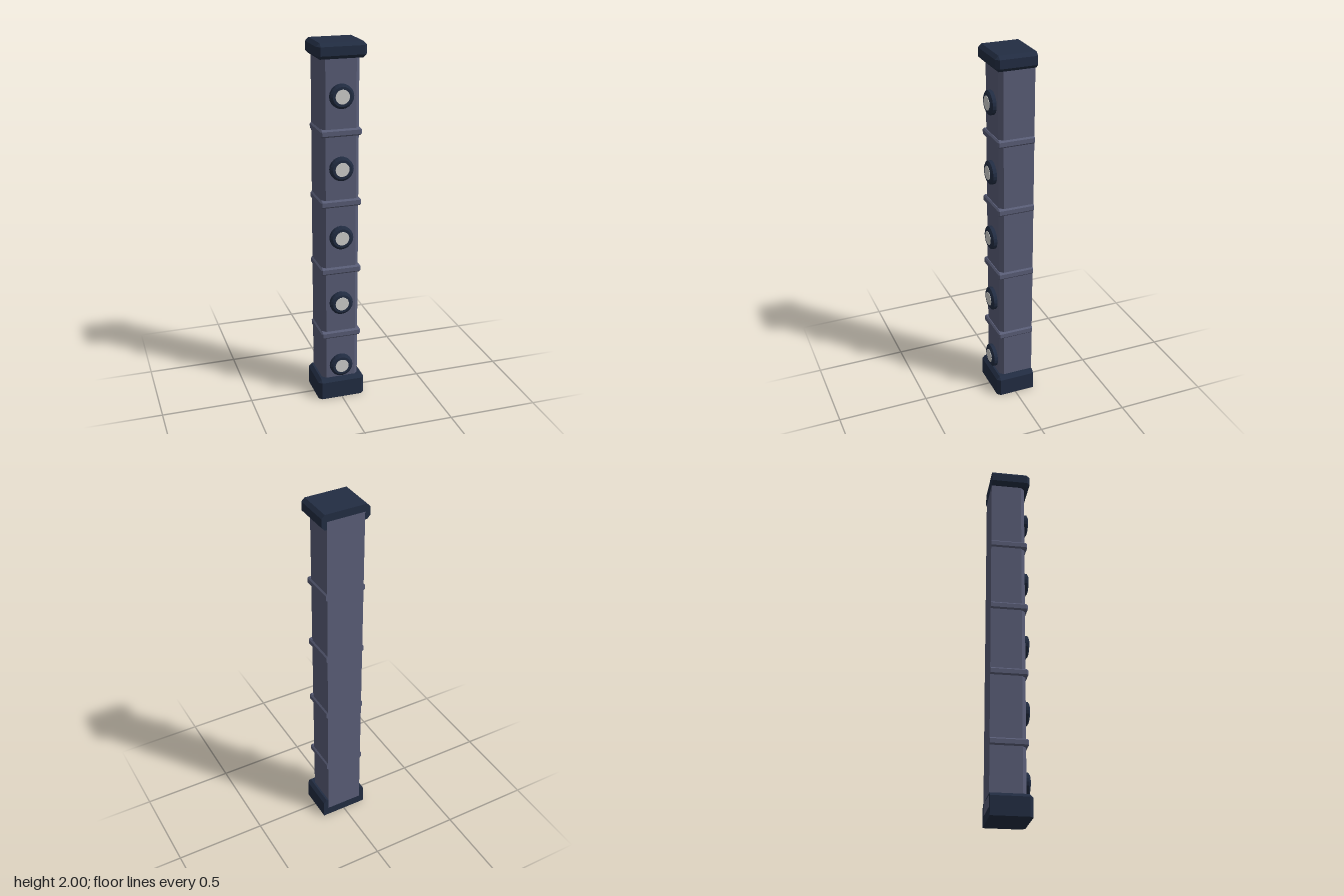
import * as THREE from 'three';

const BACK = -0.11;

// Upright block with a flat back, bevelled front corners and optional bevelled top and bottom rims
function bevelBlock(w, front, y0, y1, bevel, bottomBevel, topBevel) {
  const section = (inset, y) => {
    const x = w - inset, f = front - inset, c = bevel - inset;
    return [[-x, BACK], [-x, f - c], [-x + c, f], [x - c, f], [x, f - c], [x, BACK]]
      .map(([px, pz]) => [px, y, pz]);
  };
  const loops = [];
  if (bottomBevel) loops.push(section(bevel, y0));
  loops.push(section(0, bottomBevel ? y0 + bevel : y0));
  loops.push(section(0, topBevel ? y1 - bevel : y1));
  if (topBevel) loops.push(section(bevel, y1));

  const pos = [];
  const tri = (a, b, c) => pos.push(...a, ...b, ...c);
  for (let k = 0; k < loops.length - 1; k++) {
    const lo = loops[k], hi = loops[k + 1];
    for (let i = 0; i < 6; i++) {
      const j = (i + 1) % 6;
      tri(lo[i], lo[j], hi[j]);
      tri(lo[i], hi[j], hi[i]);
    }
  }
  const bottom = loops[0], top = loops[loops.length - 1];
  for (let i = 1; i < 5; i++) {
    tri(top[0], top[i], top[i + 1]);
    tri(bottom[0], bottom[i + 1], bottom[i]);
  }
  const geo = new THREE.BufferGeometry();
  geo.setAttribute('position', new THREE.Float32BufferAttribute(pos, 3));
  geo.computeVertexNormals();
  return geo;
}

export function createModel() {
  const model = new THREE.Group();
  model.name = 'lightPillar';
  const mat = (name, color) => {
    const m = new THREE.MeshStandardMaterial({ color });
    m.name = name;
    m.flatShading = true;
    return m;
  };
  const slate = mat('slate panel', 0x5a5e78);
  const navy = mat('dark navy trim', 0x222d43);
  const glow = mat('pale lamp', 0xd2d2d0);

  const add = (name, geo, material, parent = model) => {
    const mesh = new THREE.Mesh(geo, material);
    mesh.name = name;
    parent.add(mesh);
    return mesh;
  };

  // Shaft and end blocks
  add('shaft', bevelBlock(0.104, 0.08, 0.05, 1.96, 0.021, false, false), slate);
  add('base', bevelBlock(0.133, 0.108, 0, 0.118, 0.018, false, true), navy);
  add('cap', bevelBlock(0.133, 0.108, 1.918, 2, 0.018, true, true), navy);

  // Raised bands between the lamps
  for (let i = 0; i < 4; i++) {
    const y = 0.386 + i * 0.383;
    add('band', bevelBlock(0.112, 0.092, y - 0.02, y + 0.02, 0.008, true, true), slate);
  }

  // Round lamps: bevelled housing with a pale lens
  const profile = [[0.064, 0], [0.064, 0.02], [0.052, 0.028], [0, 0.028]]
    .map(([r, h]) => new THREE.Vector2(r, h));
  const housing = new THREE.LatheGeometry(profile, 20).rotateX(Math.PI / 2);
  const lens = new THREE.CylinderGeometry(0.038, 0.038, 0.005, 20).rotateX(Math.PI / 2);
  for (let i = 0; i < 5; i++) {
    const lamp = new THREE.Group();
    lamp.name = 'lamp';
    lamp.position.set(0, 0.195 + i * 0.383, 0.08);
    add('lampHousing', housing, navy, lamp);
    add('lampLens', lens, glow, lamp).position.z = 0.0278;
    model.add(lamp);
  }
  return model;
}
